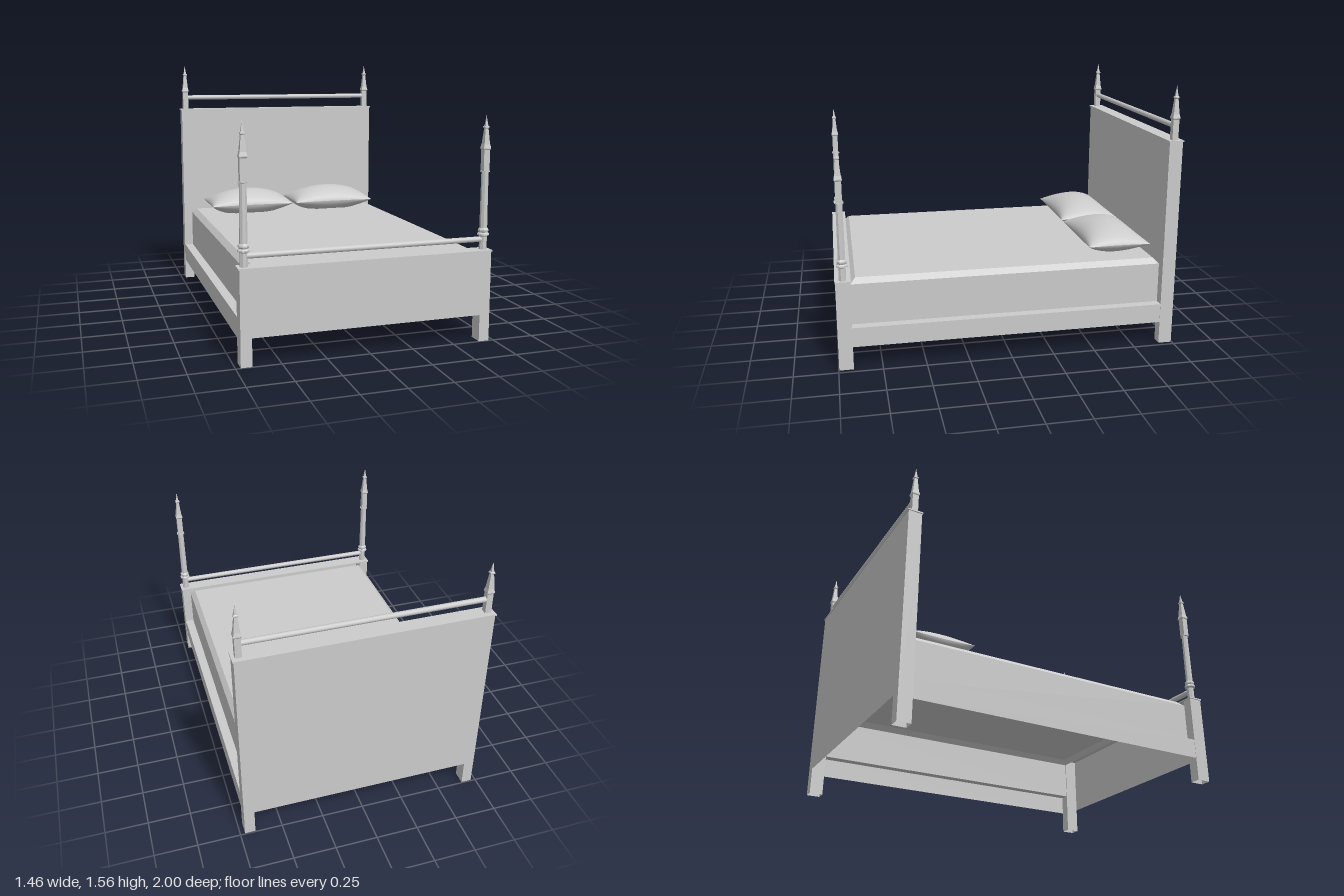
import * as THREE from 'three';

const grey = new THREE.MeshStandardMaterial({ color: 0xcccccc });
const flat = new THREE.MeshStandardMaterial({ color: 0xcccccc, flatShading: true });
const thin = new THREE.MeshStandardMaterial({ color: 0xcccccc, side: THREE.DoubleSide });

const W = 0.722, LEG = 0.66, MX = 0.665, MZ = 0.915, TOP = 0.52, CHAMFER = 0.03;

function add(parent, name, geometry, x = 0, y = 0, z = 0, material = grey) {
  const mesh = new THREE.Mesh(geometry, material);
  mesh.name = name;
  mesh.position.set(x, y, z);
  parent.add(mesh);
  return mesh;
}

// Flat four-cornered sheets, each given as corners in order
function sheets(quads) {
  const corners = quads.flatMap(([a, b, c, d]) => [a, b, c, a, c, d]);
  const geometry = new THREE.BufferGeometry();
  geometry.setAttribute('position', new THREE.Float32BufferAttribute(corners.flat(), 3));
  geometry.computeVertexNormals();
  return geometry;
}

// Upright sheet between two plan points (x, z)
const wall = (x0, z0, x1, z1, y0, y1) =>
  [[x0, y0, z0], [x1, y0, z1], [x1, y1, z1], [x0, y1, z0]];

// Hollow end board, open below: outer face with two legs, sides, top and corner posts
function endBoard(name, height, outerZ, innerZ) {
  const board = new THREE.Group();
  board.name = name;
  const face = new THREE.Shape([
    [-W, 0], [-LEG, 0], [-LEG, 0.155], [LEG, 0.155],
    [LEG, 0], [W, 0], [W, height], [-W, height],
  ].map(([x, y]) => new THREE.Vector2(x, y)));
  const facing = Math.sign(outerZ);
  const outer = add(board, name + 'OuterFace', new THREE.ShapeGeometry(face), 0, 0, outerZ, thin);
  if (facing < 0) outer.rotation.y = Math.PI;
  const walls = [];
  for (const s of [1, -1]) {
    const side = [
      wall(s * W, outerZ, s * W, innerZ, 0, height),
      wall(s * W, innerZ, s * LEG, innerZ, 0, TOP),
      wall(s * LEG, innerZ, s * LEG, outerZ, 0, TOP),
    ];
    // Keep the corner order outward on all four corners
    walls.push(...side.map((q) => (s * facing > 0 ? q : q.reverse())));
  }
  if (height > TOP + 0.1) walls.push(wall(-W, innerZ, W, innerZ, TOP, height));
  add(board, name + 'Walls', sheets(walls), 0, 0, 0, thin);
  add(board, name + 'Cap', new THREE.BoxGeometry(1.456, 0.009, 0.09), 0, height, facing * 0.955);
  return board;
}

// Turned profile of [radius, height] pairs with a given number of sides
function turned(profile, sides) {
  const points = profile.map(([r, y]) => new THREE.Vector2(r, y));
  return new THREE.LatheGeometry(points, sides, Math.PI / sides);
}

// Square pointed finial; radii are half widths of the square
function finialGeometry() {
  const profile = [
    [0, 0], [0.018, 0], [0.018, 0.118], [0.022, 0.125], [0.022, 0.13], [0.017, 0.15],
    [0.009, 0.237], [0.013, 0.241], [0.013, 0.248], [0.008, 0.252], [0, 0.31],
  ];
  return turned(profile.map(([r, y]) => [r * Math.SQRT2, y]), 4);
}

// Octagonal post with a collar near the foot and a plate on top
function postGeometry() {
  return turned([
    [0, 0], [0.022, 0], [0.022, 0.078], [0.034, 0.084], [0.034, 0.092],
    [0.026, 0.1], [0.03, 0.108], [0.03, 0.116], [0.022, 0.126],
    [0.02, 0.44], [0.027, 0.442], [0.027, 0.449], [0, 0.449],
  ], 8);
}

// One sheet of the pillow: domed, with drawn-out corners; the underside rests flat
function pillowSheet(side) {
  const geometry = new THREE.PlaneGeometry(2, 2, 24, 20);
  const pos = geometry.attributes.position;
  for (let i = 0; i < pos.count; i++) {
    // Bunch the grid towards the seam for a round edge
    const u = Math.sin(pos.getX(i) * Math.PI / 2);
    const v = Math.sin(pos.getY(i) * Math.PI / 2);
    const rim = Math.sqrt(Math.max(0, (1 - u ** 8) * (1 - v ** 8)));
    const dome = 0.015 * rim + 0.08 * Math.pow(Math.max(0, (1 - u * u) * (1 - v * v)), 0.7);
    const x = 0.284 * u * (1 - 0.03 * (1 - v * v));
    const z = -0.192 * v * (1 - (v > 0 ? 0.18 : 0.1) * (1 - u * u));
    pos.setXYZ(i, x, side > 0 ? dome : -Math.min(dome, 0.067), z);
  }
  if (side < 0) {
    const index = geometry.index.array;
    for (let i = 0; i < index.length; i += 3) [index[i], index[i + 1]] = [index[i + 1], index[i]];
  }
  geometry.computeVertexNormals();
  return geometry;
}

// Mattress shell, open below: flat top, chamfered rim and long sides
function mattressGeometry() {
  const x = MX - CHAMFER, z = MZ - CHAMFER, y = TOP - CHAMFER;
  const quads = [[[-x, TOP, z], [x, TOP, z], [x, TOP, -z], [-x, TOP, -z]]];
  for (const s of [1, -1]) {
    quads.push(
      [[s * MX, y, s * MZ], [s * MX, y, -s * MZ], [s * x, TOP, -s * z], [s * x, TOP, s * z]],
      [[-s * MX, y, s * MZ], [s * MX, y, s * MZ], [s * x, TOP, s * z], [-s * x, TOP, s * z]],
      wall(s * MX, s * MZ, s * MX, -s * MZ, 0.25, y),
    );
  }
  return sheets(quads);
}

// Side rail: outer face and the ledge running in to the mattress
function railGeometry(s) {
  const x = 0.72, y = 0.25;
  return sheets([
    wall(s * x, s * MZ, s * x, -s * MZ, 0.135, y),
    [[s * x, y, s * MZ], [s * x, y, -s * MZ], [s * MX, y, -s * MZ], [s * MX, y, s * MZ]],
  ]);
}

export function createModel() {
  const bed = new THREE.Group();
  bed.name = 'bed';

  // Headboard, footboard and mattress
  bed.add(endBoard('headboard', 1.243, -0.995, -MZ));
  bed.add(endBoard('footboard', 0.524, 0.997, MZ));
  add(bed, 'mattress', mattressGeometry(), 0, 0, 0, thin);

  // Cross bars between the posts
  const bar = new THREE.CylinderGeometry(0.016, 0.016, 1.36, 12).rotateZ(Math.PI / 2);
  add(bed, 'headBar', bar, 0, 1.328, -0.955);
  add(bed, 'footBar', bar, 0, 0.586, 0.955);

  // Side rails, posts and finials, mirrored left and right
  const post = postGeometry();
  const finial = finialGeometry();
  for (const [label, s] of [['left', 1], ['right', -1]]) {
    add(bed, label + 'SideRail', railGeometry(s), 0, 0, 0, thin);
    add(bed, label + 'FootPost', post, s * 0.69, 0.526, 0.955, flat);
    add(bed, label + 'FootFinial', finial, s * 0.69, 0.974, 0.955, flat);
    add(bed, label + 'HeadFinial', finial, s * 0.69, 1.247, -0.953, flat);
  }

  // Pillows
  for (const [label, x] of [['left', 0.302], ['right', -0.297]]) {
    const pillow = new THREE.Group();
    pillow.name = label + 'Pillow';
    pillow.position.set(x, 0.59, -0.695);
    add(pillow, 'pillowTop', pillowSheet(1), 0, 0, 0, thin);
    add(pillow, 'pillowUnderside', pillowSheet(-1), 0, 0, 0, thin);
    bed.add(pillow);
  }
  return bed;
}
